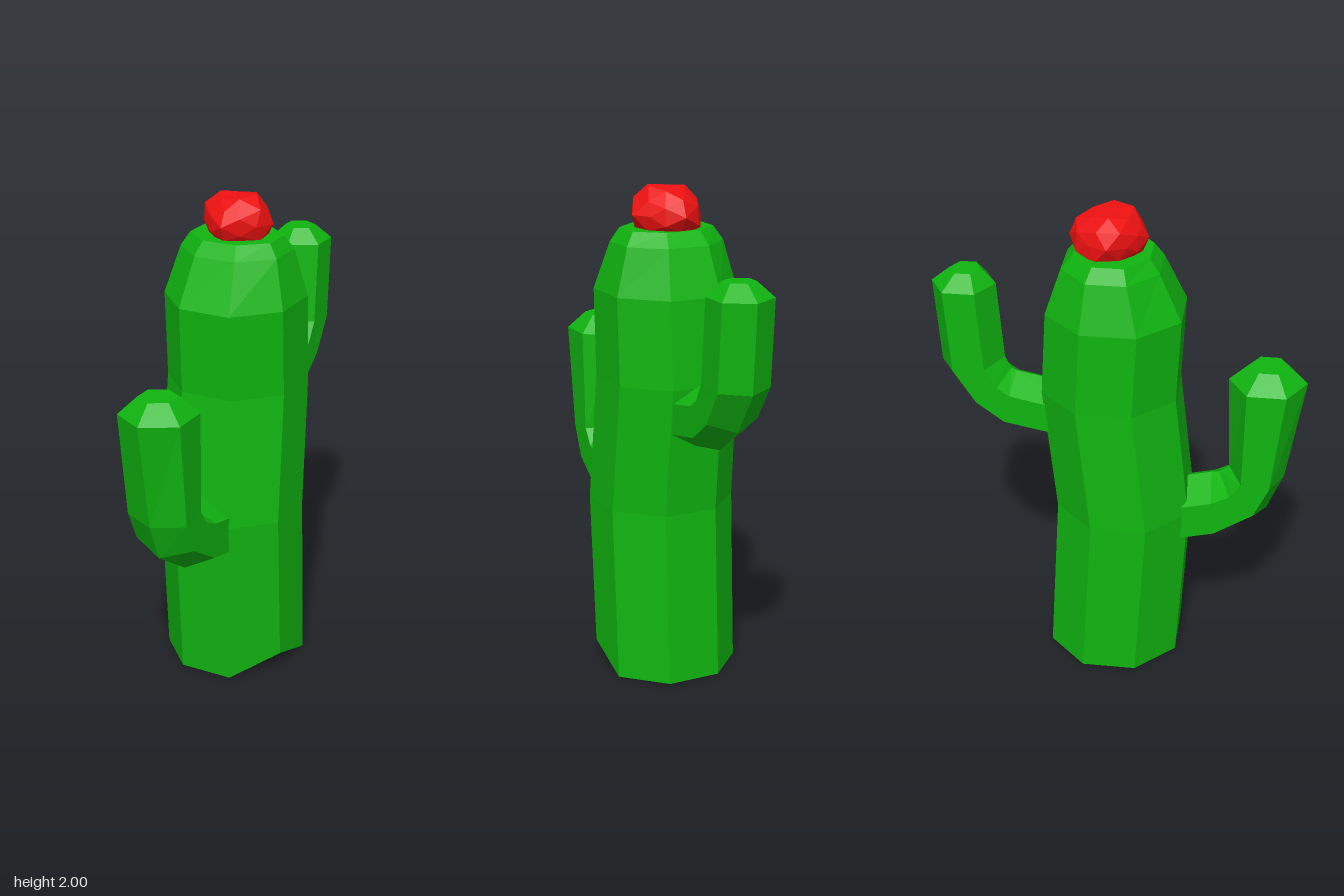
import * as THREE from 'three';

const green = new THREE.MeshStandardMaterial({ color: 0x10b510, flatShading: true });
const red = new THREE.MeshStandardMaterial({ color: 0xee1111, flatShading: true });

// Skins a list of rings (counter-clockwise seen from the far end) and closes both ends.
function loft(rings) {
  const pos = [];
  const tri = (...pts) => pts.forEach((p) => pos.push(p.x, p.y, p.z));
  const n = rings[0].length;
  const centre = (ring) => ring.reduce((s, p) => s.add(p), new THREE.Vector3()).divideScalar(n);
  const first = rings[0];
  const last = rings[rings.length - 1];
  const c0 = centre(first);
  const c1 = centre(last);
  for (let i = 0; i < n; i++) {
    const j = (i + 1) % n;
    for (let k = 0; k < rings.length - 1; k++) {
      const lo = rings[k];
      const hi = rings[k + 1];
      tri(lo[i], lo[j], hi[j]);
      tri(lo[i], hi[j], hi[i]);
    }
    tri(c0, first[j], first[i]);
    tri(c1, last[i], last[j]);
  }
  const geo = new THREE.BufferGeometry();
  geo.setAttribute('position', new THREE.Float32BufferAttribute(pos, 3));
  geo.computeVertexNormals();
  return geo;
}

function part(name, geometry, material) {
  const mesh = new THREE.Mesh(geometry, material);
  mesh.name = name;
  return mesh;
}

// Octagonal trunk that sways along z; each row is [y, z centre, x radius, z radius].
function trunkGeometry() {
  const rows = [
    [0, -0.015, 0.268, 0.268],
    [0.71, 0.025, 0.272, 0.27],
    [1.24, -0.033, 0.262, 0.268],
    [1.59, -0.015, 0.262, 0.266],
    [1.78, -0.028, 0.21, 0.19],
    [1.835, -0.025, 0.175, 0.148],
  ];
  const stretch = 1 / Math.cos(Math.PI / 8);
  const rings = rows.map(([y, z, rx, rz]) =>
    Array.from({ length: 8 }, (_, i) => {
      const a = ((i + 0.5) * Math.PI) / 4;
      return new THREE.Vector3(Math.cos(a) * rx * stretch, y, z - Math.sin(a) * rz * stretch);
    }));
  rings[0][7].y = 0.08; // one lifted corner at the foot
  return loft(rings);
}

// Hexagonal arm; each row is [outer z, outer y, inner z, inner y, half width].
function armGeometry(rows) {
  return loft(rows.map(([oz, oy, iz, iy, w]) => {
    const side = Math.sign(oz) * w;
    const at = (t, x) => new THREE.Vector3(x - 0.006, oy + (iy - oy) * t, oz + (iz - oz) * t);
    return [at(0, 0), at(0.25, side), at(0.75, side), at(1, 0), at(0.75, -side), at(0.25, -side)];
  }));
}

// Crumpled blossom: a faceted ball dented by a repeatable wobble.
function flowerGeometry() {
  const geo = new THREE.IcosahedronGeometry(1, 1);
  const p = geo.attributes.position;
  const v = new THREE.Vector3();
  for (let i = 0; i < p.count; i++) {
    v.fromBufferAttribute(p, i);
    const wobble = 0.97 + 0.09 * Math.sin(v.x * 7 + v.y * 11 + v.z * 5 + 1);
    v.multiplyScalar(wobble);
    v.y = Math.min(v.y, 0.9);
    p.setXYZ(i, v.x * 0.145, v.y * 0.122, v.z * 0.155);
  }
  geo.computeVertexNormals();
  return geo;
}

export function createModel() {
  const group = new THREE.Group();
  group.name = 'cactus';

  group.add(part('trunk', trunkGeometry(), green));

  group.add(part('frontArm', armGeometry([
    [0.15, 0.5, 0.15, 0.8, 0.13],
    [0.41, 0.565, 0.38, 0.855, 0.13],
    [0.61, 0.7, 0.41, 0.86, 0.13],
    [0.675, 0.86, 0.45, 0.89, 0.13],
    [0.747, 1.3, 0.435, 1.3, 0.135],
    [0.67, 1.37, 0.515, 1.37, 0.068],
  ]), green));

  group.add(part('backArm', armGeometry([
    [-0.15, 0.975, -0.15, 1.22, 0.11],
    [-0.47, 1.035, -0.42, 1.275, 0.11],
    [-0.61, 1.14, -0.44, 1.285, 0.11],
    [-0.72, 1.31, -0.465, 1.335, 0.112],
    [-0.745, 1.66, -0.49, 1.66, 0.112],
    [-0.67, 1.72, -0.545, 1.72, 0.056],
  ]), green));

  const flower = part('flower', flowerGeometry(), red);
  flower.position.set(0, 1.89, -0.035);
  group.add(flower);

  return group;
}
